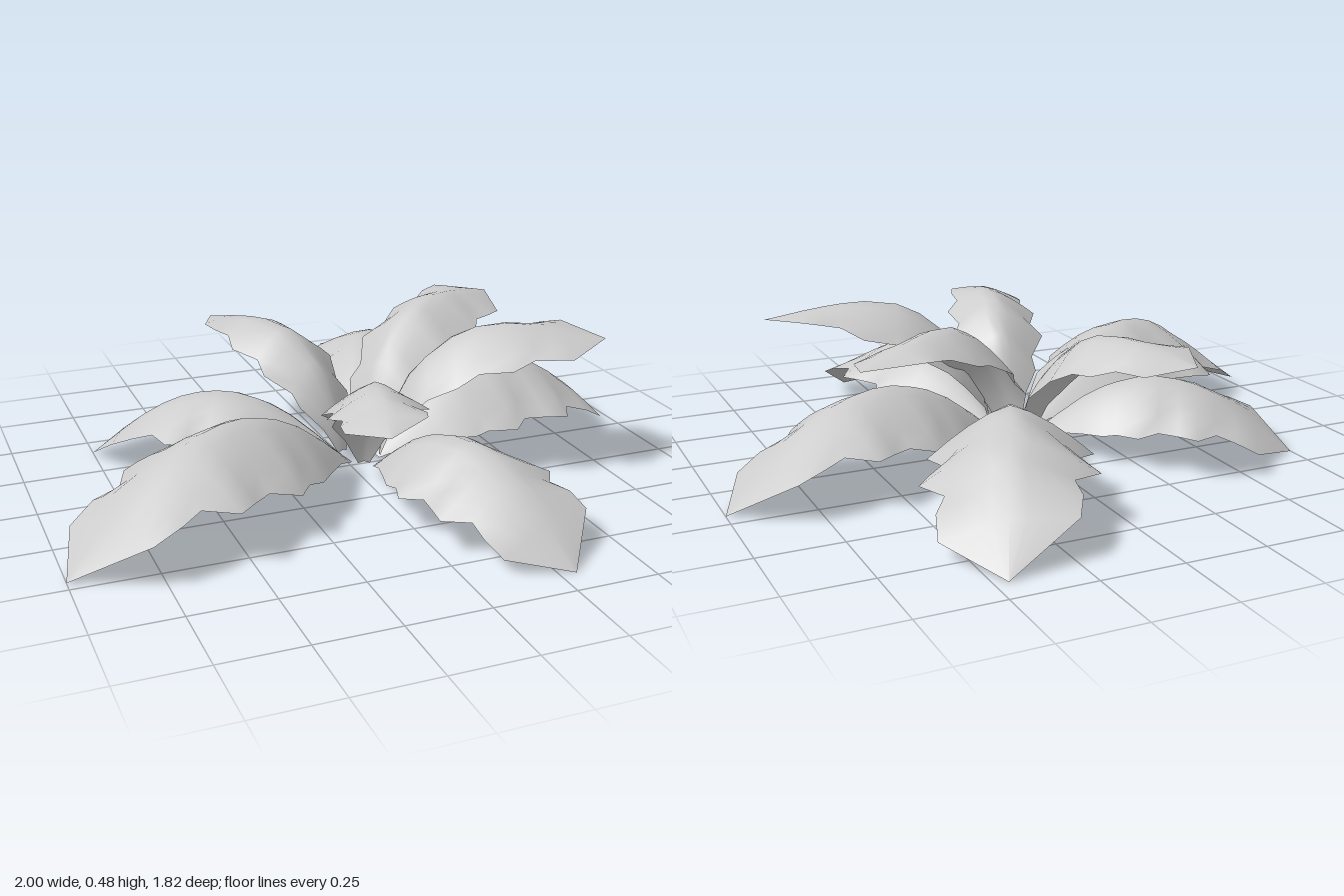
import * as THREE from 'three';

// Rows along a leaf of unit length: [distance along, half width, midrib height, edge drop]
const LOW = [
  [0, 0.02, 0.045, 0.005], [0.1, 0.075, 0.13, 0.05], [0.2, 0.14, 0.205, 0.105],
  [0.28, 0.192, 0.248, 0.137], [0.33, 0.19, 0.266, 0.148], [0.41, 0.248, 0.287, 0.16],
  [0.485, 0.2, 0.29, 0.152], [0.56, 0.23, 0.28, 0.14], [0.63, 0.257, 0.26, 0.122],
  [0.7, 0.18, 0.228, 0.088], [0.775, 0.2, 0.182, 0.06], [0.86, 0.19, 0.12, 0.036], [1, 0, 0, 0],
];
const HIGH = [
  [0, 0.03, 0.08, 0.01], [0.04, 0.1, 0.27, 0.06], [0.13, 0.18, 0.45, 0.12],
  [0.2, 0.17, 0.53, 0.14], [0.32, 0.25, 0.625, 0.15], [0.42, 0.2, 0.67, 0.145],
  [0.56, 0.245, 0.685, 0.13], [0.66, 0.18, 0.677, 0.088], [0.74, 0.2, 0.665, 0.063],
  [0.83, 0.19, 0.648, 0.042], [1, 0, 0.61, 0],
];
const HALF = 4; // columns on each side of the midrib
const ROLL = 0.048; // twist to one side, growing toward the tip

// Arched leaf with lobed edges, folded near the base, flat and twisted at the tip
function leafGeometry(rows, [bx, bz], [tx, tz]) {
  const dx = tx - bx, dz = tz - bz, length = Math.hypot(dx, dz);
  const positions = [], index = [], columns = HALF * 2 + 1;
  rows.forEach(([s, width, height, drop], i) => {
    const roll = s < 1 ? ROLL * s * s : 0;
    for (let j = 0; j < columns; j++) {
      const r = (j - HALF) / HALF, t = width * r;
      const y = length * (height - drop * Math.abs(r) ** 1.4 - roll * r);
      positions.push(bx + dx * s - dz * t, y, bz + dz * s + dx * t);
      if (i < rows.length - 1 && j < columns - 1) {
        const a = i * columns + j, c = a + columns;
        index.push(a, a + 1, c, a + 1, c + 1, c);
      }
    }
  });
  const geometry = new THREE.BufferGeometry();
  geometry.setAttribute('position', new THREE.Float32BufferAttribute(positions, 3));
  geometry.setIndex(index);
  geometry.computeVertexNormals();
  return geometry;
}

export function createModel() {
  const plant = new THREE.Group();
  plant.name = 'plant';
  const leafMaterial = new THREE.MeshStandardMaterial({ color: 0xcccccc, side: THREE.DoubleSide });
  leafMaterial.name = 'leaf grey';

  const addRing = (name, rows, leaves) => {
    const ring = new THREE.Group();
    ring.name = name + 'Leaves';
    leaves.forEach(([base, tip], i) => {
      const leaf = new THREE.Mesh(leafGeometry(rows, base, tip), leafMaterial);
      leaf.name = name + 'Leaf' + (i + 1);
      ring.add(leaf);
    });
    plant.add(ring);
  };

  // Long outer leaves bending down to the ground
  addRing('outer', LOW, [
    [[-0.03, 0.05], [-1, 0.46]],
    [[0.05, 0.1], [0.3, 0.91]],
    [[0.07, 0.04], [1, -0.19]],
    [[0.05, -0.03], [0.46, -0.91]],
    [[-0.03, -0.01], [-0.75, -0.41]],
  ]);
  // Shorter inner leaves rising steeply
  addRing('inner', HIGH, [
    [[0.01, 0.09], [-0.15, 0.675]],
    [[0.08, 0.05], [0.74, 0.29]],
    [[0.05, -0.02], [0.65, -0.365]],
    [[-0.02, -0.02], [-0.29, -0.57]],
  ]);
  return plant;
}
